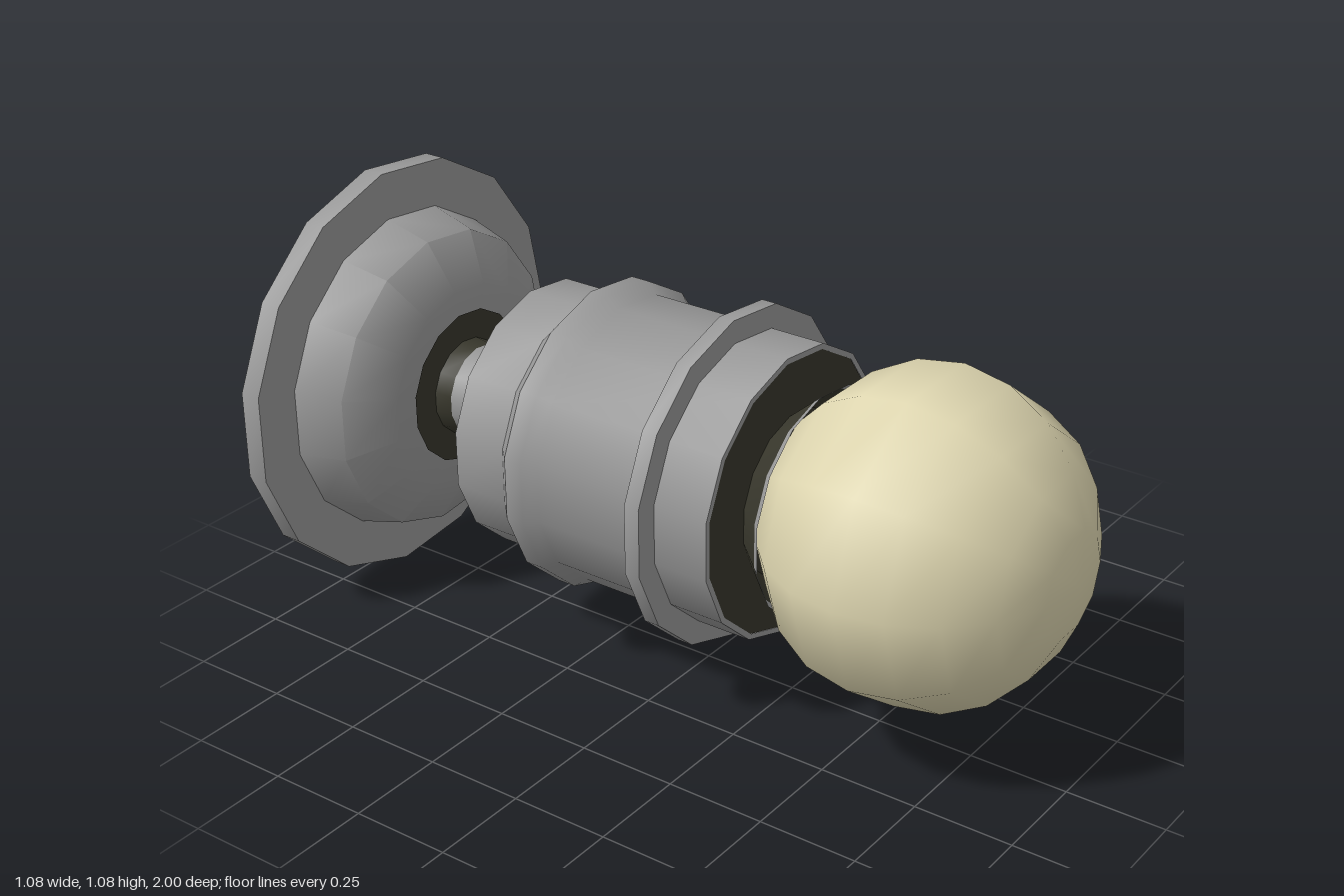
import * as THREE from 'three';
import { toCreasedNormals } from 'three/addons/utils/BufferGeometryUtils.js';

const SIDES = 15;

export function createModel() {
  const metal = new THREE.MeshStandardMaterial({ color: 0x999999, side: THREE.DoubleSide });
  metal.name = 'grey metal';
  const dark = new THREE.MeshStandardMaterial({ color: 0x38372c, side: THREE.DoubleSide });
  dark.name = 'dark fitting';
  const glass = new THREE.MeshStandardMaterial({ color: 0xded6b0 });
  glass.name = 'cream glass';

  const lamp = new THREE.Group();
  lamp.name = 'wallLamp';
  lamp.position.set(-0.008, 0.543, 0);

  // Turned part along z; the profile is a list of [radius, z] from back to front
  function turned(name, profile, material, sides = SIDES) {
    const points = profile.map(([r, z]) => new THREE.Vector2(r, z));
    const lathe = new THREE.LatheGeometry(points, sides, Math.PI / 2);
    lathe.rotateX(Math.PI / 2);
    const mesh = new THREE.Mesh(toCreasedNormals(lathe, 0.8), material);
    mesh.name = name;
    lamp.add(mesh);
    return mesh;
  }

  // Wall plate: flat ring with a hollow dish in front of it
  turned('wallPlate', [[0.42, -1], [0.5435, -1], [0.5435, -0.945], [0.42, -0.945]], metal);
  turned('dish', [[0.42, -1], [0.42, -0.945], [0.387, -0.82], [0.262, -0.75], [0.13, -0.75]], metal);
  turned('dishWasherBack', [[0.13, -0.755], [0.2, -0.755]], dark);
  turned('dishWasherFront', [[0.2, -0.746], [0.12, -0.746]], dark);

  // Tapered hollow stem with dark ends
  turned('stemRear', [[0.126, -0.75], [0.12, -0.7]], dark);
  turned('stemMiddle', [[0.12, -0.7], [0.108, -0.6]], metal);
  turned('stemFront', [[0.108, -0.6], [0.105, -0.57]], dark);

  // Socket body with shoulder and raised ridge
  turned('socketBody', [
    [0.105, -0.582], [0.335, -0.5], [0.335, -0.355], [0.385, -0.308],
    [0.385, -0.26], [0.359, -0.23], [0.359, 0.25], [0.345, 0.25],
  ], metal);
  turned('collar', [[0.35, 0.066], [0.418, 0.066], [0.418, 0.106], [0.35, 0.106]], metal);
  turned('collarGap', [[0.35, 0.063], [0.37, 0.063]], dark);
  turned('socketMouth', [[0.345, 0.249], [0.15, 0.249]], dark);

  // Bulb with its dark neck and thin rim
  turned('bulbNeck', [[0.2, 0.24], [0.27, 0.32]], dark);
  turned('bulbNeckRim', [[0.27, 0.32], [0.284, 0.337]], metal);
  const bulb = new THREE.Mesh(
    new THREE.SphereGeometry(0.405, 10, 10).scale(1, 0.95, 1).rotateX(Math.PI / 2), glass);
  bulb.name = 'bulb';
  bulb.position.z = 0.615;
  lamp.add(bulb);

  const model = new THREE.Group();
  model.name = 'model';
  model.add(lamp);
  return model;
}
